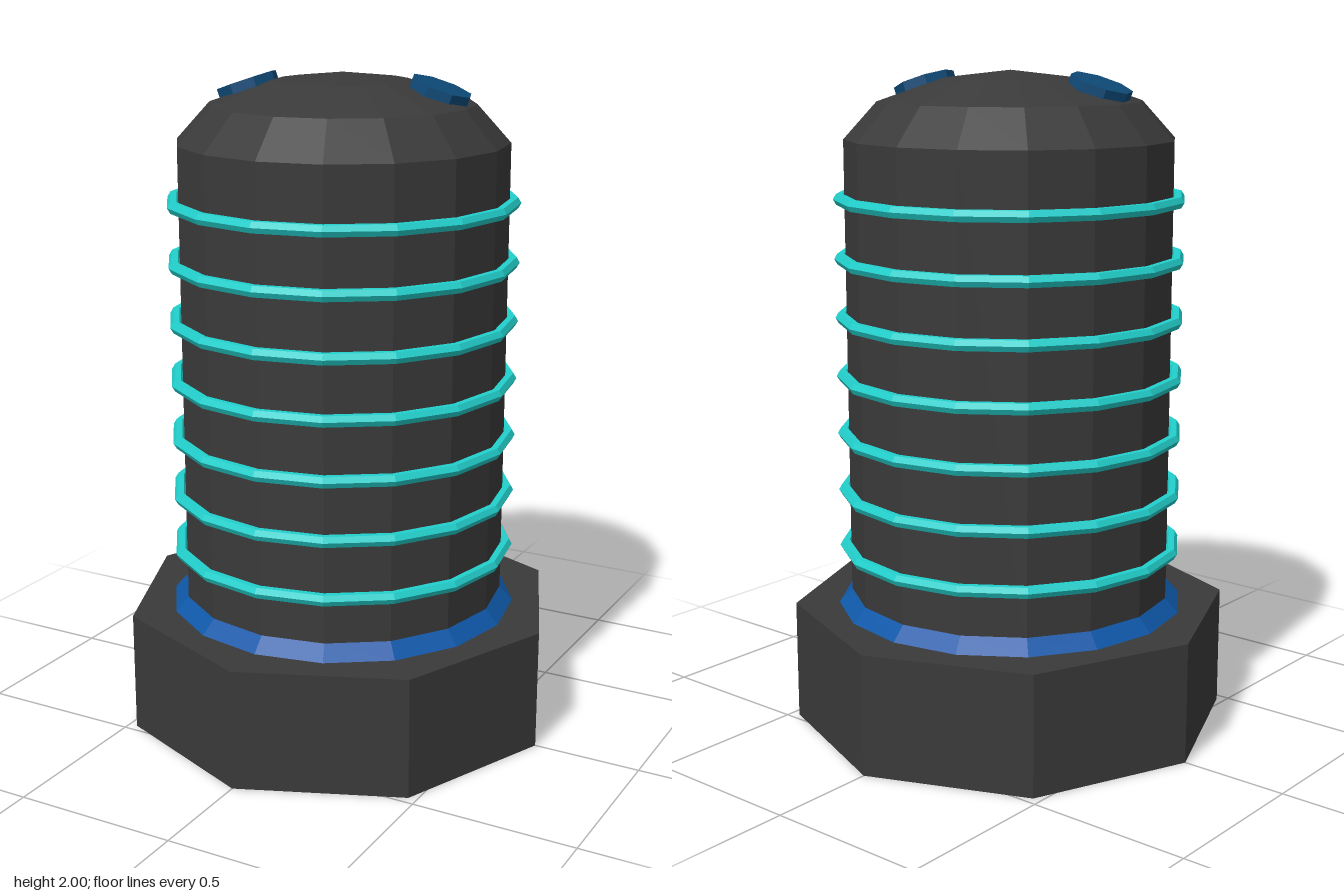
import * as THREE from 'three';

const flat = (color, name) => {
  const m = new THREE.MeshStandardMaterial({ color, flatShading: true });
  m.name = name;
  return m;
};

export function createModel() {
  const charcoal = flat(0x3a3a3a, 'charcoal');
  const cyan = flat(0x22d0cc, 'cyan');
  const blue = flat(0x0f58a8, 'blue');
  const deepBlue = flat(0x0e4a78, 'deep blue');

  const model = new THREE.Group();
  model.name = 'bolt';
  const add = (name, geometry, material) => {
    const mesh = new THREE.Mesh(geometry, material);
    mesh.name = name;
    model.add(mesh);
    return mesh;
  };
  const lathe = (points, sides) =>
    new THREE.LatheGeometry(points.map(([r, y]) => new THREE.Vector2(r, y)), sides);

  // Octagonal base with a tapered recess underneath
  add('base', lathe([[0, 0.295], [0.455, 0.295], [0.67, 0], [0.67, 0.37], [0, 0.37]], 8), charcoal);

  // Sloped collar where the shaft meets the base
  add('collar', lathe([[0.535, 0.37], [0.494, 0.415]], 16), blue);

  // Shaft with a shallow domed cap
  add('shaft', lathe([[0.495, 0.36], [0.495, 1.8], [0.395, 1.91], [0.2, 1.977], [0, 2]], 16), charcoal);

  // Thin glowing bands up the shaft
  for (let i = 0; i < 7; i++) {
    const band = add('band' + (i + 1), new THREE.TorusGeometry(0.51, 0.019, 6, 16), cyan);
    band.rotation.x = Math.PI / 2;
    band.position.y = 0.556 + i * 0.178;
  }

  // Two octagonal studs lying on the dome's slope
  for (const s of [1, -1]) {
    const stud = add(s > 0 ? 'leftStud' : 'rightStud', new THREE.CylinderGeometry(0.094, 0.094, 0.036, 8), deepBlue);
    const normal = new THREE.Vector3(s * 0.32, 0.94, s * -0.06).normalize();
    stud.quaternion.setFromUnitVectors(new THREE.Vector3(0, 1, 0), normal);
    stud.position.set(s * 0.288, 1.951, s * -0.056);
  }

  return model;
}
